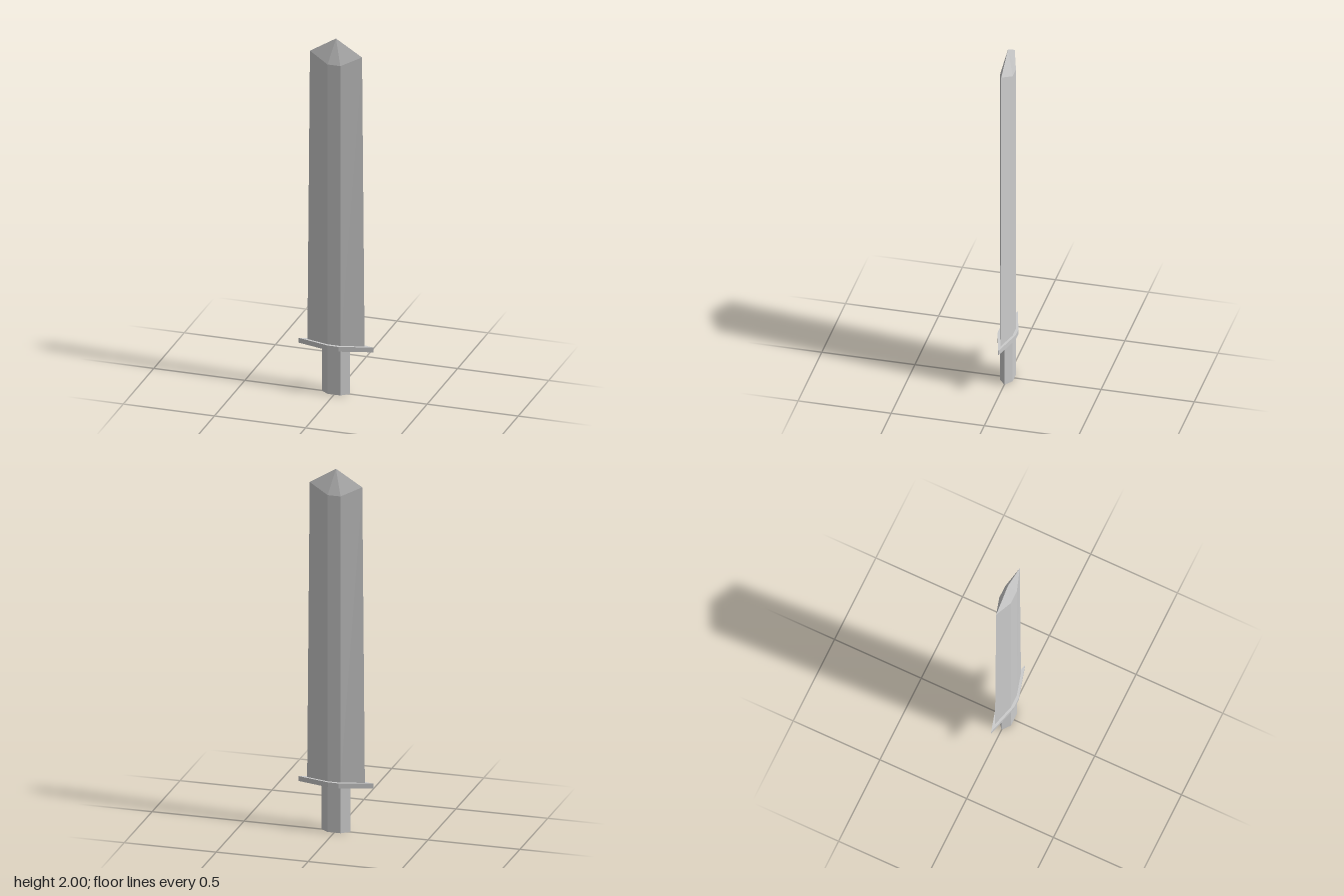
import * as THREE from 'three';

const steel = new THREE.MeshStandardMaterial({ color: 0xcccccc });
steel.name = 'steel';

// Six-sided diamond section: w = half width, f = half flat, d = half depth.
// The two side points sit at height yEdge, the flats at yFlat.
function section(w, f, d, yEdge, yFlat = yEdge) {
  return [
    [w, yEdge, 0], [f, yFlat, -d], [-f, yFlat, -d],
    [-w, yEdge, 0], [-f, yFlat, d], [f, yFlat, d],
  ];
}

// Joins two sections with side walls and closes both ends to a centre point.
function solid(name, lower, upper, bottomY, topY) {
  const points = [];
  const tri = (a, b, c) => points.push(...a, ...b, ...c);
  const bottom = [0, bottomY, 0];
  const top = [0, topY, 0];
  for (let i = 0; i < 6; i++) {
    const j = (i + 1) % 6;
    tri(lower[i], lower[j], upper[j]);
    tri(lower[i], upper[j], upper[i]);
    tri(upper[i], upper[j], top);
    tri(lower[j], lower[i], bottom);
  }
  const geometry = new THREE.BufferGeometry();
  geometry.setAttribute('position', new THREE.Float32BufferAttribute(points, 3));
  geometry.computeVertexNormals();
  const mesh = new THREE.Mesh(geometry, steel);
  mesh.name = name;
  return mesh;
}

export function createModel() {
  const sword = new THREE.Group();
  sword.name = 'sword';
  sword.add(
    solid('grip', section(0.078, 0.035, 0.034, 0), section(0.078, 0.035, 0.034, 0.255), 0, 0.255),
    solid('guard', section(0.205, 0.029, 0.049, 0.253), section(0.205, 0.029, 0.049, 0.28), 0.253, 0.28),
    // Slightly tapering blade, closed by a faceted point
    solid('blade', section(0.157, 0.035, 0.034, 0.28), section(0.143, 0.035, 0.034, 1.912, 1.862), 0.28, 2),
  );
  return sword;
}
